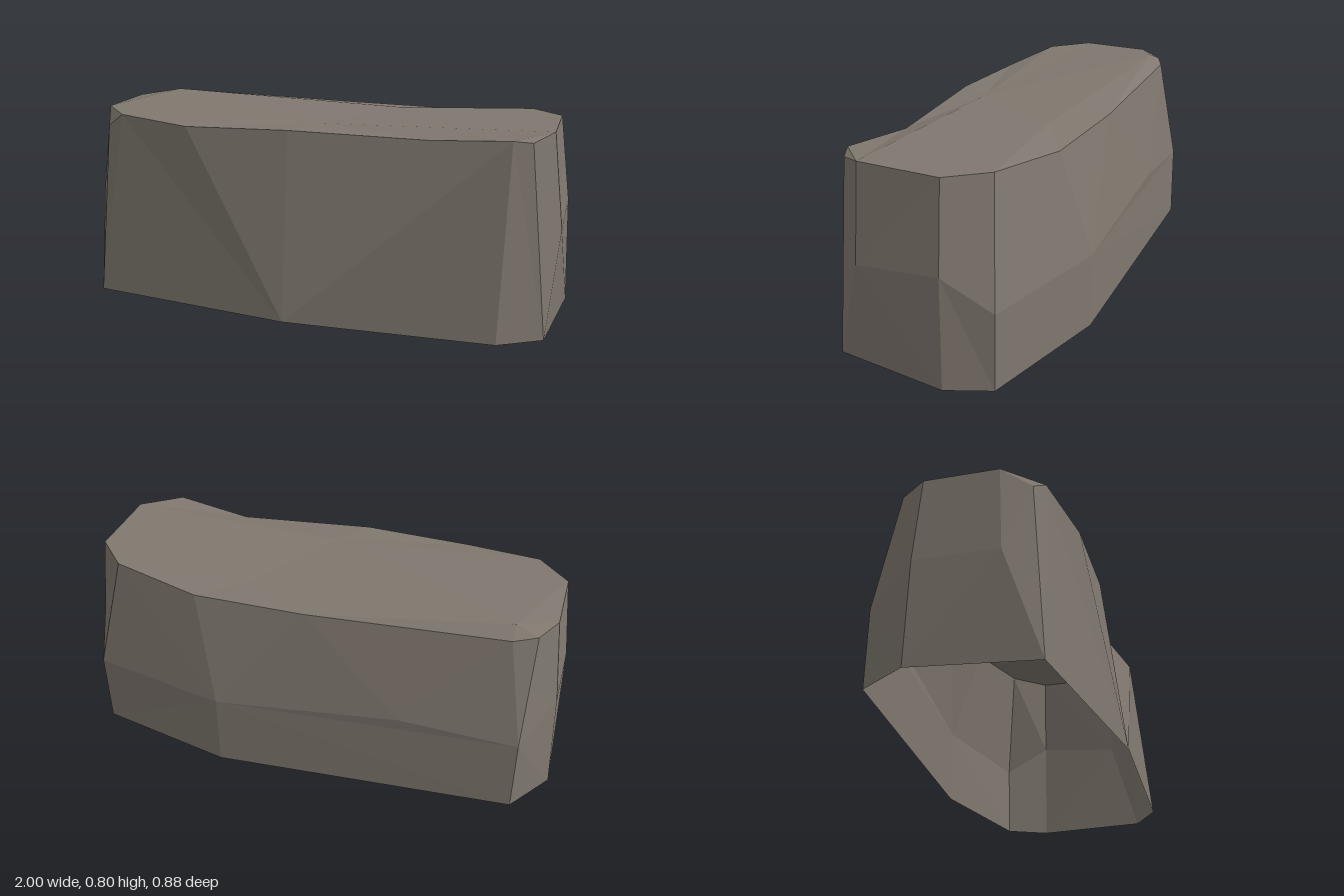
import * as THREE from 'three';

// Outlines run from the front left corner along the front, right, back and left.
const points = {
  // top rim
  t: [[-.94, .78, .15], [-.81, .775, .29], [-.5, .755, .35], [-.07, .765, .35], [.48, .75, .3],
    [.8, .775, .34], [.87, .765, .305], [.94, .79, .2], [.94, .79, -.135], [.81, .787, -.27],
    [.45, .755, -.345], [0, .76, -.35], [-.79, .76, -.285], [-.88, .765, -.24], [-.94, .78, -.14]],
  // crest points inside the top
  c: [[-.79, .8, -.23], [.25, .775, -.2], [.03, .77, .2]],
  // open base outline
  b: [[-.94, 0, .31], [-.07, 0, .44], [.78, 0, .42], [.95, 0, .32], [1, 0, -.15],
    [.92, 0, -.32], [.35, 0, -.44], [-.87, 0, -.35], [-1, 0, -.16]],
  // bulges partway up the sides and back
  m: [[.985, .41, .2], [.985, .44, -.145], [.92, .31, -.325], [.35, .31, -.44], [-.4, .36, -.385],
    [-.87, .31, -.345], [-.98, .42, -.155], [-.98, .42, .17], [-.89, .72, .26]],
};

// Each fan is a hub followed by the points around it, counterclockwise from outside.
const parts = {
  topFace: ['c2 t0 t1 t2 t3 t4 t7 c1 c0 t0', 'c0 c1 t11 t12 t13 t14 t0', 'c1 t7 t8 t9 t10 t11', 't5 t6 t7 t4'],
  frontWall: ['b1 b2 t5 t4 t3 t2 t1 b0'],
  rightEnd: ['b3 b4 m0 t7 t6 t5 b2', 'm0 b4 m1 t8 t7', 'm1 b4 b5 m2 t9 t8'],
  backWall: ['m3 m2 b5 b6 b7 m5 m4 t11 t10 t9 m2', 'm4 m5 t12 t11'],
  leftEnd: ['m5 b7 b8 m6 t13 t12', 'm6 b8 m7 t0 t14 t13', 'm7 b8 b0 m8 t0', 'm8 b0 t1 t0'],
};

function facets(fans) {
  const position = [];
  for (const fan of fans) {
    const [hub, ...rim] = fan.split(' ').map((key) => points[key[0]][Number(key.slice(1))]);
    for (let i = 0; i + 1 < rim.length; i++) position.push(...hub, ...rim[i], ...rim[i + 1]);
  }
  const geometry = new THREE.BufferGeometry();
  geometry.setAttribute('position', new THREE.Float32BufferAttribute(position, 3));
  geometry.computeVertexNormals();
  return geometry;
}

export function createModel() {
  const stone = new THREE.MeshStandardMaterial({ color: 0x80786f, flatShading: true, side: THREE.DoubleSide });
  stone.name = 'warm grey stone';
  const rock = new THREE.Group();
  rock.name = 'rock';
  for (const [name, fans] of Object.entries(parts)) {
    const mesh = new THREE.Mesh(facets(fans), stone);
    mesh.name = name;
    rock.add(mesh);
  }
  return rock;
}
